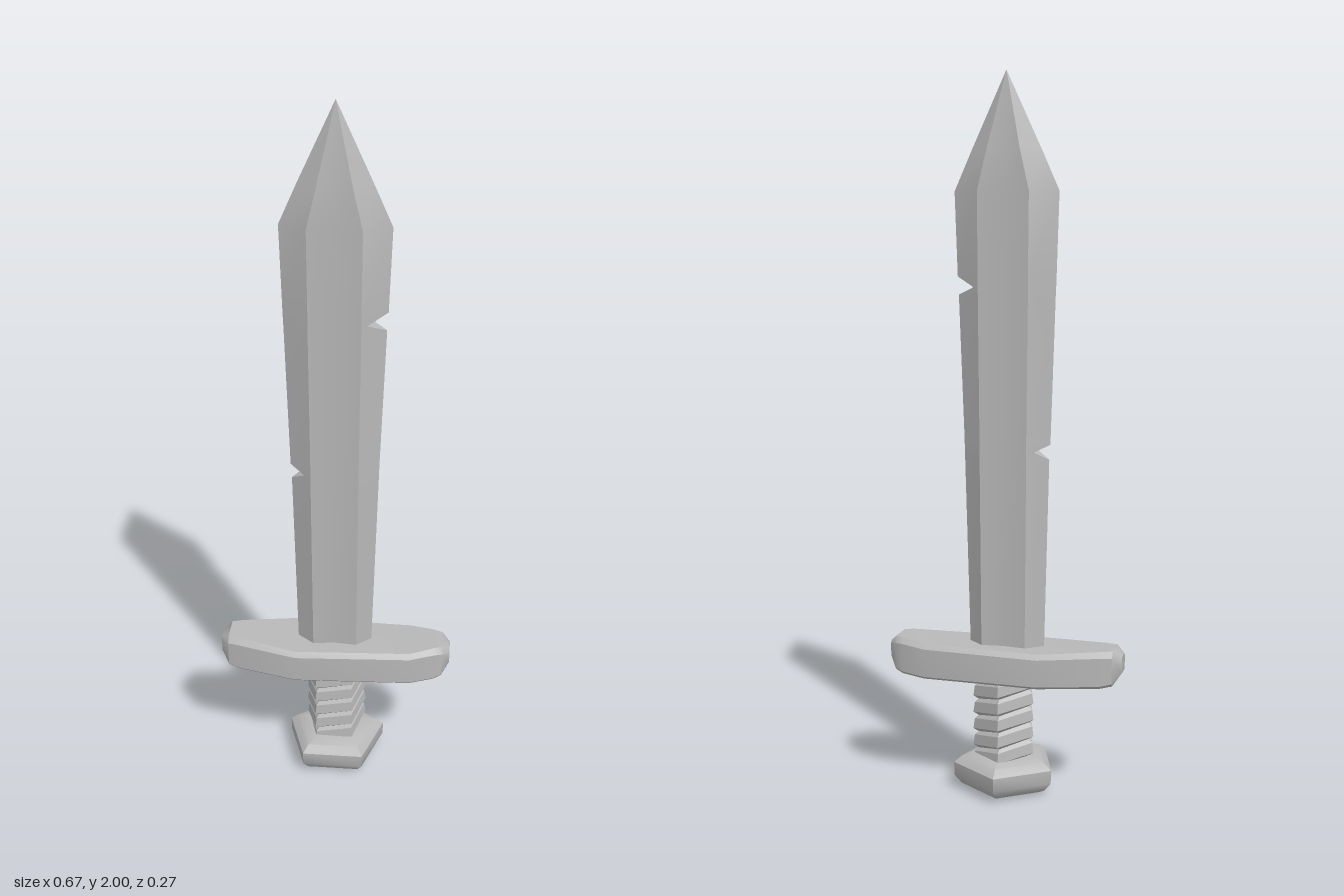
import * as THREE from 'three';
import { toCreasedNormals } from 'three/addons/utils/BufferGeometryUtils.js';

const steel = new THREE.MeshStandardMaterial({ color: 0xb8b8b8 });
steel.name = 'grey steel';

// Skin a list of equal-length rings (counterclockwise about the loft direction) and cap both ends
function loft(rings, crease = 0.5) {
  const pos = [];
  const tri = (a, b, c) => pos.push(...a, ...b, ...c);
  const n = rings[0].length;
  for (let r = 0; r < rings.length - 1; r++) {
    const a = rings[r], b = rings[r + 1];
    for (let i = 0; i < n; i++) {
      const j = (i + 1) % n;
      tri(a[i], a[j], b[j]);
      tri(a[i], b[j], b[i]);
    }
  }
  const first = rings[0], last = rings[rings.length - 1];
  const mid = (ring) => [0, 1, 2].map((k) => ring.reduce((s, p) => s + p[k], 0) / n);
  const m0 = mid(first), m1 = mid(last);
  for (let i = 0; i < n; i++) {
    const j = (i + 1) % n;
    tri(m0, first[j], first[i]);
    tri(m1, last[i], last[j]);
  }
  const g = new THREE.BufferGeometry();
  g.setAttribute('position', new THREE.Float32BufferAttribute(pos, 3));
  return toCreasedNormals(g, crease);
}

function part(name, geometry) {
  const mesh = new THREE.Mesh(geometry, steel);
  mesh.name = name;
  return mesh;
}

// Blade: bevelled edges, shallow central groove; a nicked edge opens into two points on the bevels
function bladeGeometry() {
  const zc = 0.006;
  const ring = ([y, left, right, ridge, half, nickL, nickR]) => {
    const groove = half * 0.82;
    const open = (w, nick) => (nick ? half * (w - nick) / (w - ridge) : 0);
    const xl = nickL || left, xr = nickR || right;
    const l = open(left, nickL), r = open(right, nickR);
    return [
      [-xl, y, zc + l], [-ridge, y, zc + half], [0, y, zc + groove], [ridge, y, zc + half], [xr, y, zc + r],
      [xr, y, zc - r], [ridge, y, zc - half], [0, y, zc - groove], [-ridge, y, zc - half], [-xl, y, zc - l],
    ];
  };
  // y, left width, right width, ridge x, half thickness, nick depth left, nick depth right
  return loft([
    [0.36, 0.108, 0.103, 0.062, 0.038],
    [0.95, 0.122, 0.119, 0.066, 0.04],
    [0.972, 0.124, 0.12, 0.066, 0.04, 0.085],
    [0.992, 0.125, 0.12, 0.066, 0.04],
    [1.4, 0.138, 0.135, 0.07, 0.04],
    [1.422, 0.139, 0.136, 0.07, 0.04, 0, 0.085],
    [1.45, 0.14, 0.138, 0.07, 0.04],
    [1.68, 0.147, 0.146, 0.072, 0.04],
    [1.79, 0.098, 0.097, 0.046, 0.036],
    [2.0, 0, 0, 0, 0],
  ].map(ring), 0.45);
}

// Crossguard: chamfered bar lofted along x, widest off centre
function guardGeometry() {
  const zc = 0.005;
  const ring = ([x, hz, y0, y1, c]) => [
    [x, y1, zc - hz + c], [x, y1, zc + hz - c], [x, y1 - c, zc + hz], [x, y0 + c / 2, zc + hz],
    [x, y0, zc + hz - c / 2], [x, y0, zc - hz + c / 2], [x, y0 + c / 2, zc - hz], [x, y1 - c, zc - hz],
  ];
  // x, half depth, bottom, top, chamfer
  return loft([
    [-0.335, 0.024, 0.365, 0.412, 0.008],
    [-0.312, 0.053, 0.333, 0.43, 0.017],
    [-0.28, 0.062, 0.327, 0.429, 0.015],
    [-0.11, 0.1, 0.324, 0.42, 0.013],
    [0.22, 0.085, 0.324, 0.423, 0.013],
    [0.29, 0.062, 0.327, 0.43, 0.015],
    [0.313, 0.053, 0.335, 0.43, 0.017],
    [0.335, 0.024, 0.365, 0.412, 0.008],
  ].map(ring), 0.6);
}

// Grip: five-sided core with a spiral of overlapping wrap bands
function gripGeometry() {
  const pitch = 0.048, rings = [];
  const turn = [0, 0.2, 0.8, 1], radius = [0.077, 0.092, 0.088, 0.077];
  for (let band = 0; band < 8; band++) {
    for (let k = 0; k < 3; k++) {
      const ring = [];
      for (let i = 0; i <= 5; i++) {
        const a = Math.PI + (i / 5) * Math.PI * 2;
        const y = (band + turn[k]) * pitch + (i / 5) * pitch * 2 - 0.055;
        ring.push([radius[k] * Math.sin(a), THREE.MathUtils.clamp(y, 0.05, 0.38), radius[k] * Math.cos(a)]);
      }
      rings.push(ring);
    }
  }
  return loft(rings, 0.5);
}

// Pommel: five-sided cap with bevelled rims, one corner to the back
function pommelGeometry() {
  const profile = [[0, 0], [0.108, 0.004], [0.125, 0.012], [0.145, 0.036], [0.146, 0.074], [0.122, 0.094], [0.085, 0.106], [0, 0.106]];
  const g = new THREE.LatheGeometry(profile.map(([r, y]) => new THREE.Vector2(r, y)), 5, Math.PI);
  g.scale(1.02, 1, 1.02);
  g.translate(0, 0, 0.005);
  return toCreasedNormals(g, 0.6);
}

export function createModel() {
  const sword = new THREE.Group();
  sword.name = 'sword';
  sword.add(
    part('blade', bladeGeometry()),
    part('crossguard', guardGeometry()),
    part('grip', gripGeometry()),
    part('pommel', pommelGeometry()),
  );
  return sword;
}
